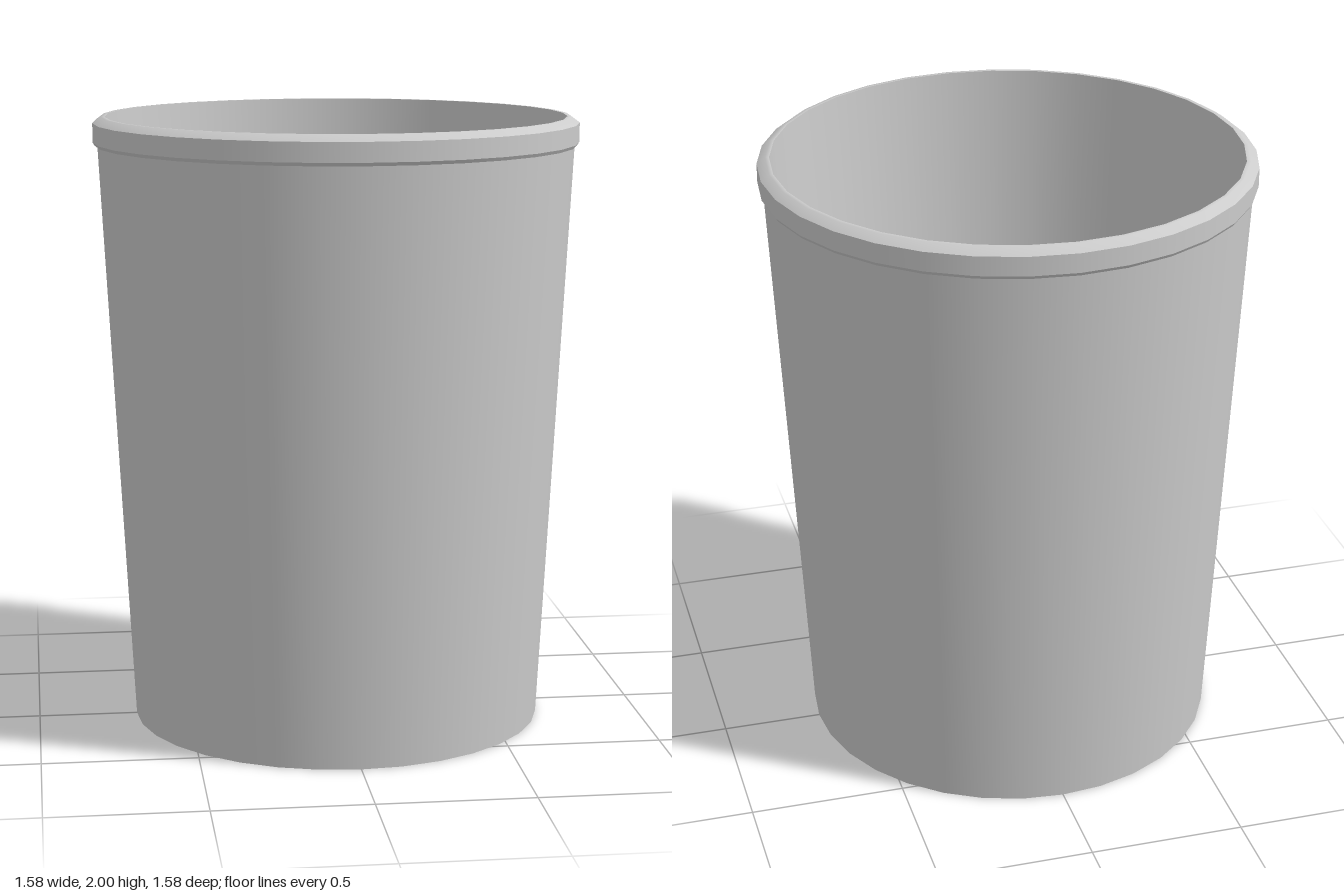
import * as THREE from 'three';

const SIDES = 32;
const material = new THREE.MeshStandardMaterial({ color: 0xcccccc });

// Revolve a short profile of [radius, height] points; each part shades smoothly
// on its own, so edges between parts stay crisp.
function lathe(name, profile) {
  const points = profile.map(([r, y]) => new THREE.Vector2(r, y));
  const mesh = new THREE.Mesh(new THREE.LatheGeometry(points, SIDES), material);
  mesh.name = name;
  return mesh;
}

export function createModel() {
  const model = new THREE.Group();
  model.name = 'tumbler';

  // Flat underside and tapered outer wall
  model.add(lathe('base', [[0, 0], [0.675, 0]]));
  model.add(lathe('outerWall', [[0.675, 0], [0.775, 1.91]]));

  // Rim: undercut, chamfer, vertical band and bevelled lip
  model.add(lathe('rimUnderside', [[0.772, 1.907], [0.783, 1.907]]));
  model.add(lathe('rimChamfer', [[0.783, 1.907], [0.79, 1.918]]));
  model.add(lathe('rimBand', [[0.79, 1.918], [0.79, 1.98]]));
  model.add(lathe('rimLip', [[0.79, 1.98], [0.763, 2], [0.75, 2]]));

  // Inner wall running through a rounded corner into the floor
  model.add(lathe('interior', [
    [0.75, 2], [0.645, 0.2], [0.625, 0.13], [0.58, 0.08], [0.5, 0.06], [0, 0.06],
  ]));

  return model;
}
